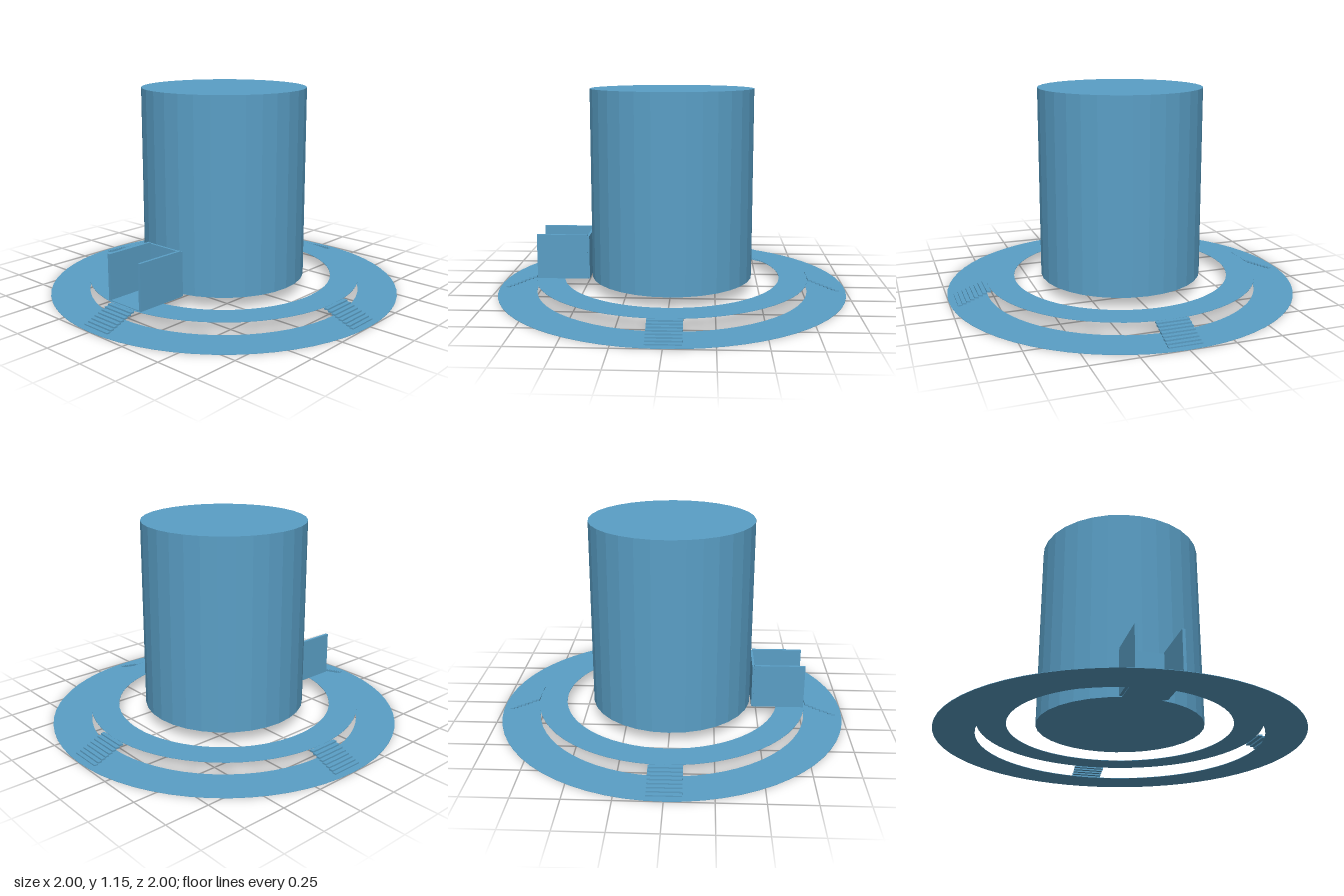
import * as THREE from 'three';

const material = new THREE.MeshStandardMaterial({ color: 0x5a9fc6, flatShading: true });

function add(parent, name, geometry, x, y, z) {
  const mesh = new THREE.Mesh(geometry, material);
  mesh.name = name;
  mesh.position.set(x, y, z);
  parent.add(mesh);
}

// Box given by its lower and upper limits on each axis
function block(parent, name, [x0, x1], [y0, y1], [z0, z1]) {
  add(parent, name, new THREE.BoxGeometry(x1 - x0, y1 - y0, z1 - z0),
    (x0 + x1) / 2, (y0 + y1) / 2, (z0 + z1) / 2);
}

// Thin level ring with its underside at height y
function flatRing(parent, name, inner, outer, y) {
  const shape = new THREE.Shape().absarc(0, 0, outer, 0, Math.PI * 2);
  shape.holes.push(new THREE.Path().absarc(0, 0, inner, 0, Math.PI * 2));
  const geometry = new THREE.ExtrudeGeometry(shape, { depth: 0.002, bevelEnabled: false, curveSegments: 32 });
  add(parent, name, geometry.rotateX(-Math.PI / 2), 0, y, 0);
}

// Flight of thin steps climbing from the ground ring to the walkway
function staircase(name) {
  const stairs = new THREE.Group();
  stairs.name = name;
  const count = 8, rise = 0.07 / count, run = 0.0225;
  for (let i = 0; i < count; i++) {
    const z = 0.96 - i * run;
    block(stairs, 'step', [-0.09, 0.09], [i * rise, (i + 1) * rise], [z - run, z]);
  }
  return stairs;
}

export function createModel() {
  const model = new THREE.Group();
  model.name = 'roundTower';

  // Central drum
  add(model, 'drum', new THREE.CylinderGeometry(0.462, 0.462, 1.077, 32), 0, 0.6125, 0);

  // Ground ring and raised walkway
  flatRing(model, 'groundRing', 0.78, 1, 0);
  flatRing(model, 'walkway', 0.62, 0.78, 0.068);

  // Four staircases, one on each side
  ['frontStairs', 'leftStairs', 'backStairs', 'rightStairs'].forEach((name, i) => {
    const stairs = staircase(name);
    stairs.rotation.y = i * Math.PI / 2;
    model.add(stairs);
  });

  // Open-topped entrance booth at the front
  const booth = new THREE.Group();
  booth.name = 'entranceBooth';
  block(booth, 'floor', [-0.11, 0.11], [0.067, 0.074], [0.47, 0.765]);
  block(booth, 'backWall', [-0.125, 0.125], [0.073, 0.32], [0.465, 0.478]);
  block(booth, 'rightWall', [-0.126, -0.11], [0.071, 0.327], [0.475, 0.765]);
  block(booth, 'leftWall', [0.11, 0.126], [0.071, 0.327], [0.475, 0.765]);
  model.add(booth);

  return model;
}
